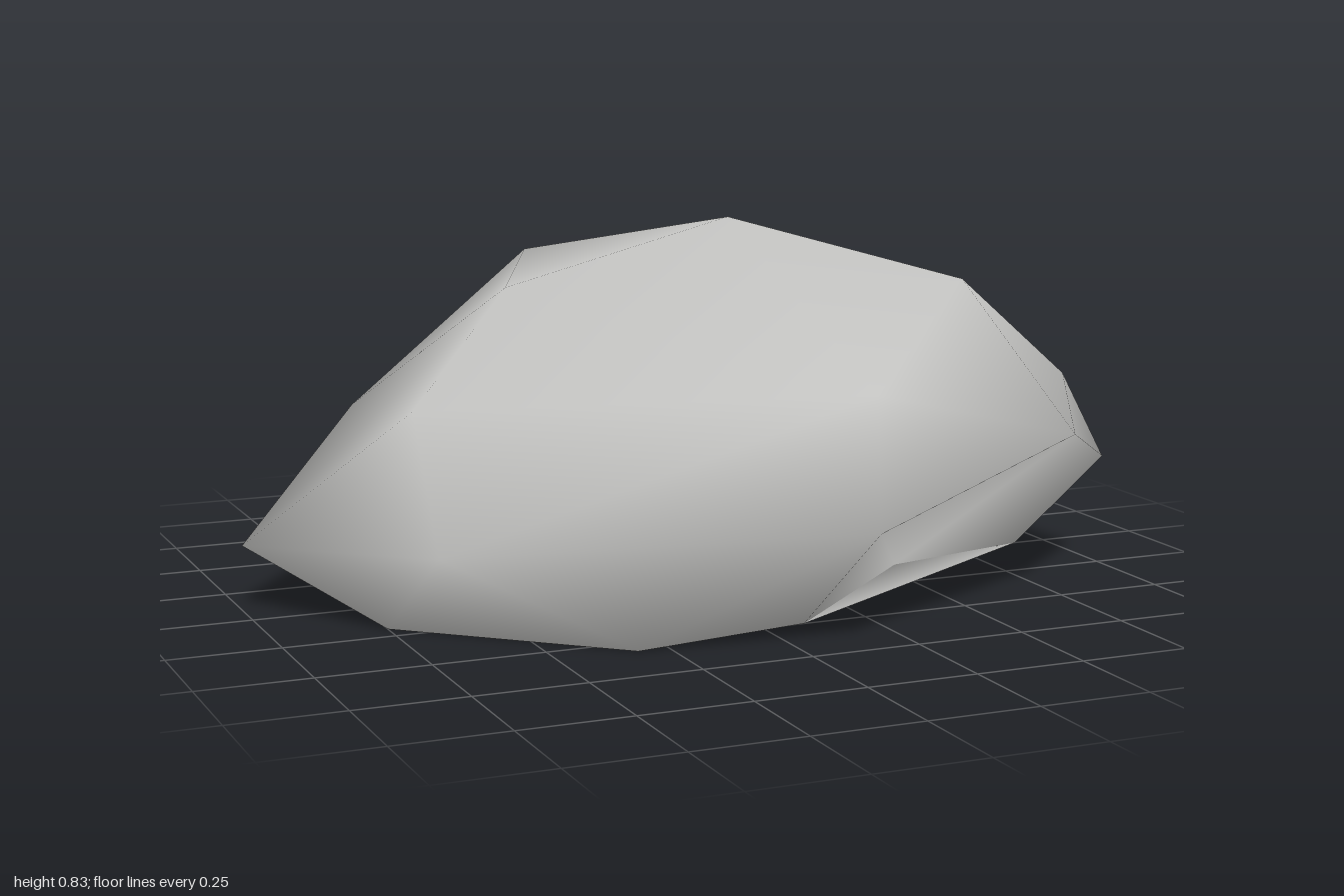
import * as THREE from 'three';
import { ConvexGeometry } from 'three/addons/geometries/ConvexGeometry.js';
import { mergeVertices } from 'three/addons/utils/BufferGeometryUtils.js';

// Corners of the boulder, ring by ring from the ground up
const base = [
  [0.92, 0, 0], [0.97, 0, -0.34], [0.73, 0, -0.8], [0.21, 0, -0.67], [-0.15, 0, -0.5],
  [-0.63, 0, -0.2], [-0.75, 0, 0.19], [-0.32, 0, 0.57], [0.1, 0, 0.5],
];
const waist = [
  [1, 0.26, 0.26], [0.73, 0.36, -0.8], [-0.26, 0.38, -0.59], [-1, 0.15, -0.08],
  [-0.68, 0.18, 0.34], [0.13, 0.26, 0.8], [0.72, 0.39, 0.59],
];
const shoulder = [
  [0.94, 0.45, 0.17], [0.2, 0.5, -0.73], [-0.65, 0.39, -0.4], [-0.68, 0.47, 0.17], [0.15, 0.54, 0.74],
];
const crown = [
  [0.55, 0.72, 0.37], [0.54, 0.69, -0.51], [-0.16, 0.72, -0.55], [-0.37, 0.69, -0.1], [0.18, 0.83, -0.09],
];
// One base corner is hulled on the outside, then pulled in to undercut the front
const notch = new THREE.Vector3(0.54, 0, 0.27);
const undercut = new THREE.Vector3(0.48, 0.03, 0.2);

// Smooth normals weighted by corner angle, so the large flat base does not dominate
function smoothByAngle(geometry) {
  const pos = geometry.attributes.position;
  const index = geometry.index;
  const sums = Array.from({ length: pos.count }, () => new THREE.Vector3());
  for (let f = 0; f < index.count; f += 3) {
    const ids = [0, 1, 2].map((k) => index.getX(f + k));
    const corners = ids.map((id) => new THREE.Vector3().fromBufferAttribute(pos, id));
    const normal = new THREE.Triangle(...corners).getNormal(new THREE.Vector3());
    ids.forEach((id, k) => {
      const a = corners[(k + 1) % 3].clone().sub(corners[k]);
      const b = corners[(k + 2) % 3].clone().sub(corners[k]);
      sums[id].addScaledVector(normal, a.angleTo(b));
    });
  }
  const normals = sums.flatMap((n) => n.normalize().toArray());
  geometry.setAttribute('normal', new THREE.Float32BufferAttribute(normals, 3));
}

export function createModel() {
  const group = new THREE.Group();
  group.name = 'rock';
  const stone = new THREE.MeshStandardMaterial({ color: 0xc4c4c2 });
  stone.name = 'pale grey stone';

  const points = [...base, ...waist, ...shoulder, ...crown].map((p) => new THREE.Vector3(...p));
  const hull = new ConvexGeometry([...points, notch]);
  const pos = hull.attributes.position;
  const v = new THREE.Vector3();
  for (let i = 0; i < pos.count; i++) {
    v.fromBufferAttribute(pos, i);
    if (v.distanceTo(notch) < 0.001) pos.setXYZ(i, undercut.x, undercut.y, undercut.z);
  }

  // Share corners so the facets shade smoothly into each other
  hull.deleteAttribute('normal');
  const geometry = mergeVertices(hull);
  smoothByAngle(geometry);

  const boulder = new THREE.Mesh(geometry, stone);
  boulder.name = 'boulder';
  group.add(boulder);
  return group;
}
